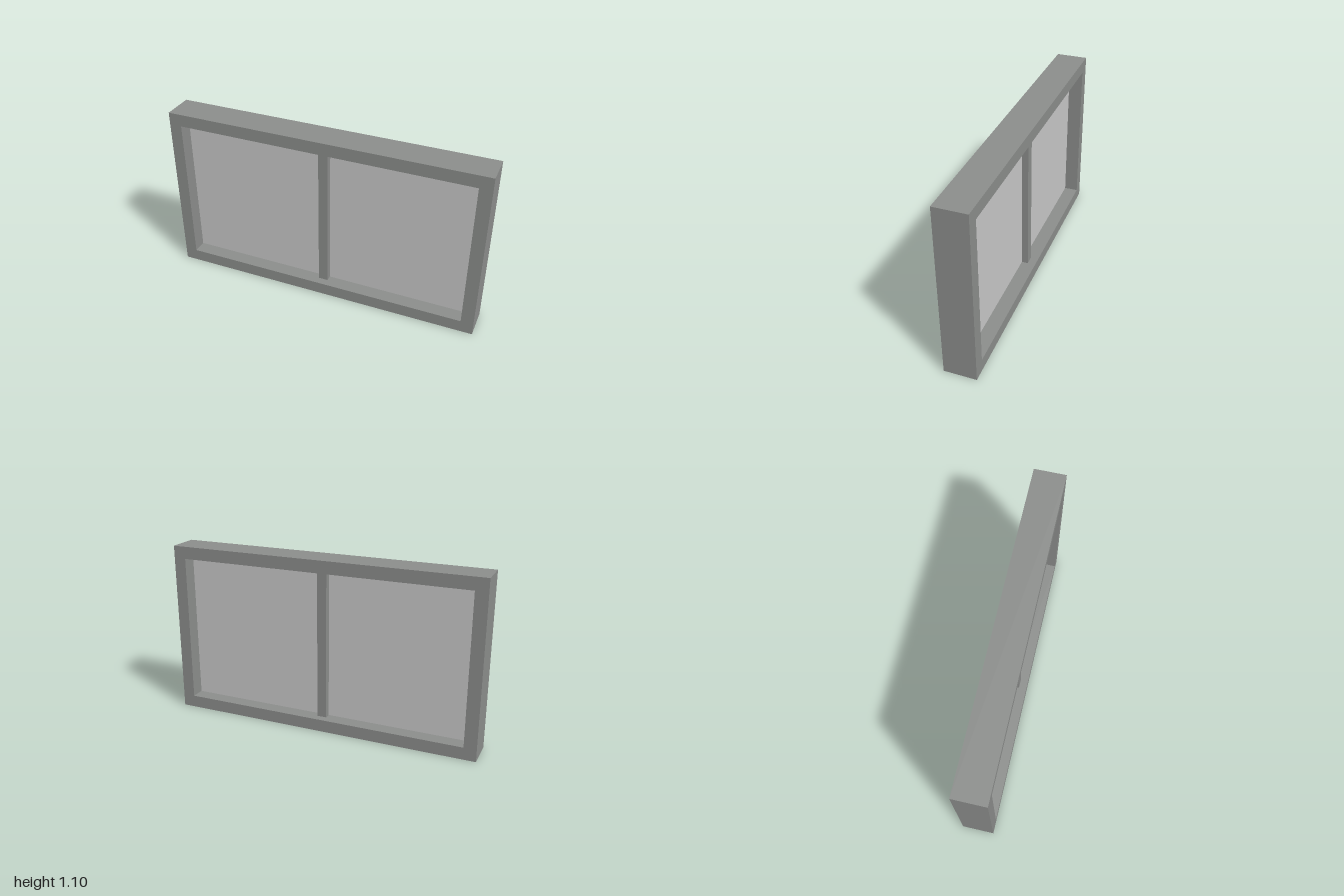
import * as THREE from 'three';

const WIDTH = 2, HEIGHT = 1.1, DEPTH = 0.2, BORDER = 0.078;

export function createModel() {
  const group = new THREE.Group();
  group.name = 'window';

  const frameGrey = new THREE.MeshStandardMaterial({ color: 0x8c8e8c });
  frameGrey.name = 'frame grey';
  const paneGrey = new THREE.MeshStandardMaterial({ color: 0xc9c9c9 });
  paneGrey.name = 'pane light grey';

  const add = (name, geometry, material, x, y, z) => {
    const mesh = new THREE.Mesh(geometry, material);
    mesh.name = name;
    mesh.position.set(x, y, z);
    group.add(mesh);
  };

  const innerW = WIDTH - 2 * BORDER, innerH = HEIGHT - 2 * BORDER;

  // Outer frame: a rectangle with a rectangular opening
  const rectangle = (path, w, h) => path
    .moveTo(-w / 2, -h / 2).lineTo(w / 2, -h / 2)
    .lineTo(w / 2, h / 2).lineTo(-w / 2, h / 2).closePath();
  const outline = new THREE.Shape();
  rectangle(outline, WIDTH, HEIGHT);
  const opening = new THREE.Path();
  rectangle(opening, innerW, innerH);
  outline.holes.push(opening);
  const frame = new THREE.ExtrudeGeometry(outline, { depth: DEPTH, bevelEnabled: false });
  add('outerFrame', frame, frameGrey, 0, HEIGHT / 2, -DEPTH / 2);

  // Centre bar, set back from both faces of the frame
  const barW = 0.06;
  add('centreBar', new THREE.BoxGeometry(barW, innerH, 0.1), frameGrey, 0, HEIGHT / 2, 0);

  // Two panes, one on each side of the bar
  const paneW = (innerW - barW) / 2;
  for (const side of [-1, 1]) {
    add(side > 0 ? 'leftPane' : 'rightPane', new THREE.BoxGeometry(paneW, innerH, 0.02),
      paneGrey, side * (barW + paneW) / 2, HEIGHT / 2, 0);
  }

  return group;
}
